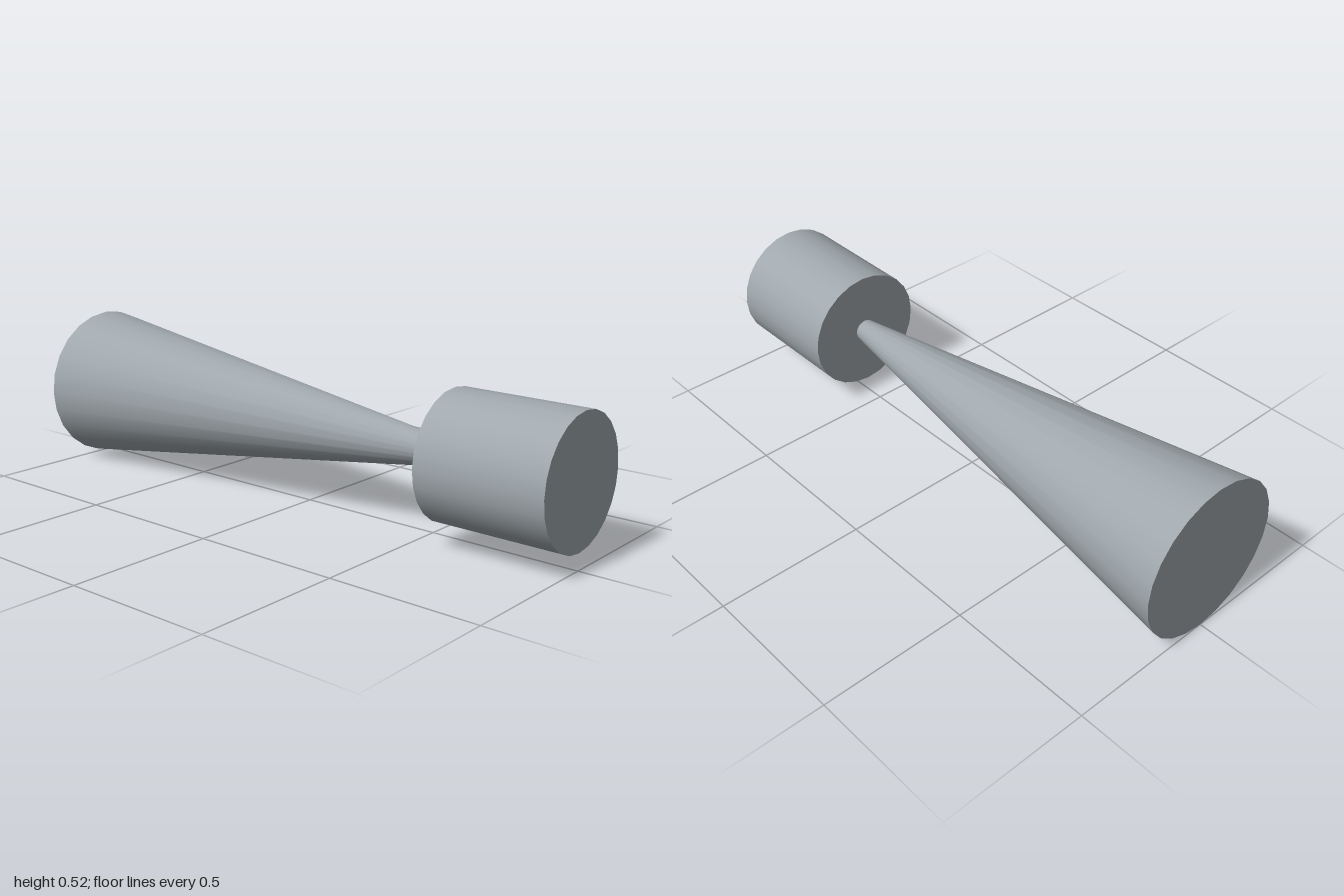
import * as THREE from 'three';

const AXIS_Y = 0.262;
const SIDES = 24;

export function createModel() {
  const model = new THREE.Group();
  const greyMetal = new THREE.MeshStandardMaterial({ color: 0xa0a8ad });
  greyMetal.name = 'greyMetal';

  // Round part lying along z, from its back end to its front end
  function addRound(name, backZ, frontZ, backRadius, frontRadius) {
    const geometry = new THREE.CylinderGeometry(frontRadius, backRadius, frontZ - backZ, SIDES);
    geometry.rotateX(Math.PI / 2);
    const mesh = new THREE.Mesh(geometry, greyMetal);
    mesh.name = name;
    mesh.position.set(0, AXIS_Y, (backZ + frontZ) / 2);
    model.add(mesh);
  }

  // Drum at the front
  addRound('driverDrum', 0.565, 1, 0.209, 0.209);

  // Flaring horn, its throat set slightly into the drum
  addRound('flaredHorn', -1, 0.6, 0.262, 0.033);

  return model;
}
